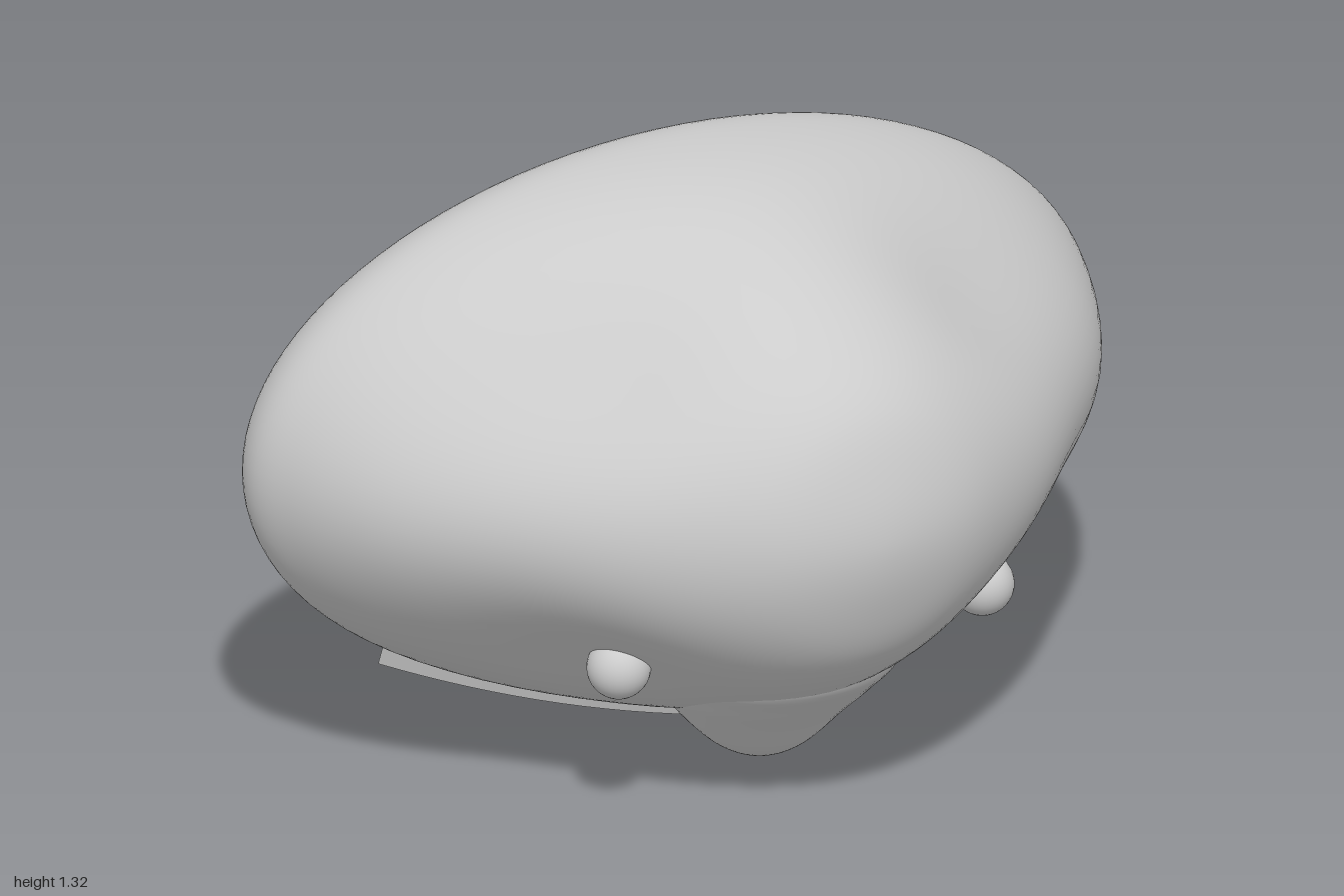
import * as THREE from 'three';
import { mergeVertices, toCreasedNormals } from 'three/addons/utils/BufferGeometryUtils.js';

const material = new THREE.MeshStandardMaterial({ color: 0xcccccc, side: THREE.DoubleSide });
const MID = 0.015; // face details sit slightly off the head's centre line

function part(name, geometry) {
  const mesh = new THREE.Mesh(geometry, material);
  mesh.name = name;
  return mesh;
}

// Weld seams and poles, then shade smoothly
function smooth(geometry) {
  geometry.deleteAttribute('normal');
  geometry.deleteAttribute('uv');
  const welded = mergeVertices(geometry, 1e-5);
  welded.computeVertexNormals();
  return welded;
}

// Head: oval sections from front to back, pinched on the diagonals near the eyes
function headGeometry() {
  // z, half width, half height
  const profile = [
    [0.64, 0, 0], [0.615, 0.17, 0.14], [0.55, 0.315, 0.28], [0.41, 0.51, 0.405],
    [0.207, 0.70, 0.515], [-0.014, 0.88, 0.588], [-0.2, 0.972, 0.608], [-0.32, 1, 0.597],
    [-0.426, 0.954, 0.54], [-0.51, 0.83, 0.432], [-0.58, 0.61, 0.295], [-0.625, 0.354, 0.168],
    [-0.643, 0, 0],
  ];
  // Mirroring the profile into a closed curve keeps both poles round
  const back = profile.slice(1, -1).reverse().map(([z, w, h]) => [z, -w, -h]);
  const curve = new THREE.CatmullRomCurve3(
    [...profile, ...back].map(([z, w, h]) => new THREE.Vector3(w, h, z)), true);
  const rows = 72, cols = 96, positions = [], index = [];
  for (let i = 0; i <= rows; i++) {
    const p = curve.getPoint(i / rows / 2);
    if (i === 0 || i === rows) p.x = p.y = 0;
    const pinch = 0.12 * Math.exp(-(((p.z - 0.2) / 0.29) ** 2));
    for (let j = 0; j < cols; j++) {
      const a = (j / cols) * Math.PI * 2;
      const r = 1 - pinch * Math.sin(2 * a) ** 2;
      positions.push(p.x * r * Math.cos(a), 0.716 + p.y * r * Math.sin(a), p.z);
      if (i === rows) continue;
      const k = (j + 1) % cols, n = i * cols;
      index.push(n + j, n + cols + j, n + k, n + cols + j, n + cols + k, n + k);
    }
  }
  const g = new THREE.BufferGeometry();
  g.setAttribute('position', new THREE.Float32BufferAttribute(positions, 3));
  g.setIndex(index);
  return smooth(g);
}

// Beak: round-tipped cone pointing down, leaning forward towards its root
function beakGeometry() {
  const outline = new THREE.SplineCurve([
    [0, 0.026], [0.055, 0.036], [0.11, 0.068], [0.165, 0.122], [0.21, 0.177], [0.24, 0.225], [0.262, 0.293], [0.2, 0.36], [0, 0.4],
  ].map(([r, y]) => new THREE.Vector2(r, y)));
  const g = new THREE.LatheGeometry(outline.getPoints(40).map((p) => p.set(Math.max(p.x, 0), p.y)), 48);
  const pos = g.attributes.position;
  for (let i = 0; i < pos.count; i++) {
    const lean = 0.045 + 1.4 * Math.max(0, pos.getY(i) - 0.13) ** 1.6;
    pos.setXYZ(i, pos.getX(i) + MID + 0.007, pos.getY(i), pos.getZ(i) + lean);
  }
  return smooth(g);
}

// Collar: a thick band with a crease in the middle and swept-back ends
function collarGeometry() {
  const through = (a, m, b) => new THREE.QuadraticBezierCurve3(
    new THREE.Vector3(...a),
    new THREE.Vector3(...a.map((v, i) => 2 * m[i] - (v + b[i]) / 2)),
    new THREE.Vector3(...b));
  const outer = through([0, 0.008, -0.214], [0.34, 0.09, -0.28], [0.657, 0.195, -0.404]);
  const inner = through([0, 0.055, -0.348], [0.29, 0.12, -0.372], [0.53, 0.19, -0.436]);
  const rise = new THREE.Vector3(-0.005, 0.1, 0.036);
  const steps = 14, positions = [];
  const section = (i) => {
    const t = Math.abs(i) / steps, side = Math.sign(i);
    const o = outer.getPoint(t), n = inner.getPoint(t);
    return [o, o.clone().add(rise), n.clone().add(rise), n]
      .map((p) => [side * p.x + MID, p.y, p.z]);
  };
  const quad = (a, b, c, d) => positions.push(...a, ...b, ...c, ...a, ...c, ...d);
  for (let i = -steps; i < steps; i++) {
    const s = section(i), e = section(i + 1);
    for (let k = 0; k < 4; k++) {
      const m = (k + 1) % 4;
      quad(s[k], e[k], e[m], s[m]);
    }
  }
  const first = section(-steps), last = section(steps);
  quad(first[0], first[1], first[2], first[3]);
  quad(last[3], last[2], last[1], last[0]);
  const g = new THREE.BufferGeometry();
  g.setAttribute('position', new THREE.Float32BufferAttribute(positions, 3));
  return toCreasedNormals(g, 0.3);
}

export function createModel() {
  const model = new THREE.Group();
  model.name = 'birdHead';
  model.add(part('head', headGeometry()), part('beak', beakGeometry()), part('collar', collarGeometry()));

  // Eyes
  for (const [name, side] of [['leftEye', 1], ['rightEye', -1]]) {
    const eye = part(name, new THREE.SphereGeometry(0.068, 32, 20));
    eye.position.set(MID + side * 0.438, 0.385, 0.232);
    model.add(eye);
  }
  return model;
}
